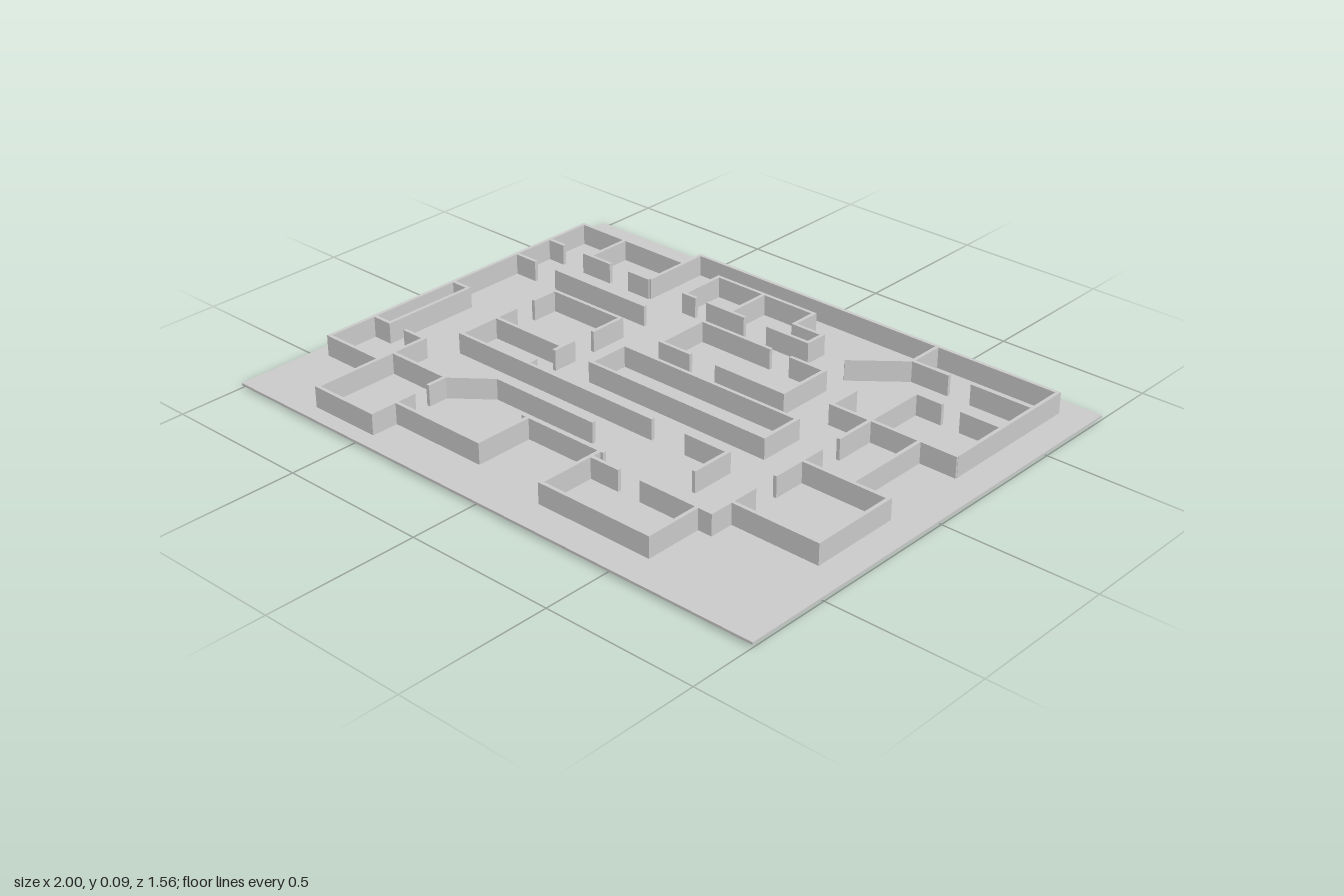
import * as THREE from 'three';

const WALL_H = 0.085, WALL_T = 0.012;
const FLOOR_Y = 0.008, FLOOR_H = 0.008;
const material = new THREE.MeshStandardMaterial({ color: 0xcccccc, flatShading: true });

// One upright wall between two plan points, lengthened where it meets a corner
function wallSegment(a, b, extendA, extendB) {
  const dx = b[0] - a[0], dz = b[1] - a[1];
  const length = Math.hypot(dx, dz);
  const ea = extendA ? WALL_T / 2 : 0, eb = extendB ? WALL_T / 2 : 0;
  const geometry = new THREE.BoxGeometry(length + ea + eb, WALL_H, WALL_T);
  geometry.translate((eb - ea) / 2, 0, 0);
  const mesh = new THREE.Mesh(geometry, material);
  mesh.name = 'wall';
  mesh.position.set((a[0] + b[0]) / 2, WALL_H / 2, (a[1] + b[1]) / 2);
  mesh.rotation.y = -Math.atan2(dz, dx);
  return mesh;
}

// A named group of wall runs; each run is a polyline of [x, z] plan points
function wallGroup(name, runs) {
  const group = new THREE.Group();
  group.name = name;
  for (const run of runs) {
    const [first, last] = [run[0], run[run.length - 1]];
    const closed = first[0] === last[0] && first[1] === last[1];
    for (let i = 0; i < run.length - 1; i++) {
      group.add(wallSegment(run[i], run[i + 1], i > 0 || closed, i < run.length - 2 || closed));
    }
  }
  return group;
}

export function createModel() {
  const model = new THREE.Group();
  model.name = 'floorPlan';

  // Thin base slab
  const floor = new THREE.Mesh(new THREE.BoxGeometry(2, FLOOR_H, 1.56), material);
  floor.name = 'floor';
  floor.position.y = FLOOR_Y + FLOOR_H / 2;
  model.add(floor);

  // Outer shell along the back and the right-hand side
  model.add(wallGroup('outerWalls', [
    [[-0.94, 0.49], [-0.94, -0.62], [-0.49, -0.62]],
    [[-0.49, -0.457], [-0.49, -0.7], [0.895, -0.7], [0.895, -0.205]],
  ]));

  // Small rooms along the back
  model.add(wallGroup('backRooms', [
    [[-0.75, -0.62], [-0.75, -0.457]],
    [[-0.94, -0.457], [-0.87, -0.457]],
    [[-0.78, -0.457], [-0.66, -0.457]],
    [[-0.58, -0.457], [-0.49, -0.457]],
    [[-0.29, -0.457], [-0.34, -0.457], [-0.34, -0.62], [0.05, -0.62],
      [0.05, -0.525], [0.16, -0.525], [0.16, -0.457], [0, -0.457]],
    [[-0.15, -0.62], [-0.15, -0.457]],
    [[-0.245, -0.457], [-0.09, -0.457]],
    [[-0.94, -0.307], [-0.85, -0.307]],
    [[-0.76, -0.307], [-0.37, -0.307]],
  ]));

  // Rooms on the left side, with the slanted wall
  model.add(wallGroup('leftRooms', [
    [[0.465, -0.7], [0.465, -0.575], [0.31, -0.445]],
    [[0.465, -0.575], [0.6, -0.575]],
    [[0.68, -0.575], [0.895, -0.575]],
    [[0.69, -0.42], [0.595, -0.42], [0.595, -0.06]],
    [[0.755, -0.42], [0.895, -0.42]],
    [[0.455, -0.315], [0.455, -0.205], [0.9, -0.205]],
    [[0.77, -0.205], [0.77, 0.1]],
    [[0.595, 0.015], [0.595, 0.215]],
    [[0.595, 0.1], [0.895, 0.1], [0.895, 0.395], [0.595, 0.395]],
    [[0.595, 0.3], [0.595, 0.475], [0.34, 0.475]],
  ]));

  // Free-standing rooms in the middle
  model.add(wallGroup('middleRooms', [
    [[-0.05, -0.163], [-0.17, -0.163], [-0.17, -0.35], [0.105, -0.35]],
    [[0.18, -0.35], [0.31, -0.35], [0.31, -0.163], [0.05, -0.163]],
    [[-0.235, -0.07], [0.437, -0.07], [0.437, 0.073], [-0.235, 0.073], [-0.235, -0.07]],
    [[-0.655, -0.1], [-0.655, -0.195], [-0.37, -0.195], [-0.37, -0.07]],
    [[-0.655, -0.025], [-0.655, 0.205], [0.135, 0.205]],
    [[-0.655, 0.06], [-0.37, 0.06]],
    [[-0.37, 0.01], [-0.37, 0.095]],
    [[-0.37, 0.17], [-0.37, 0.205]],
    [[0.26, 0.203], [0.415, 0.203], [0.415, 0.345]],
  ]));

  // Rooms along the front and the right-hand front corner
  model.add(wallGroup('frontRooms', [
    [[-0.94, -0.025], [-0.87, -0.025], [-0.87, 0.305], [-0.94, 0.305]],
    [[-0.8, 0.305], [-0.715, 0.305], [-0.715, 0.72], [-0.478, 0.72], [-0.478, 0.56]],
    [[-0.94, 0.485], [-0.715, 0.485]],
    [[-0.715, 0.43], [-0.485, 0.43], [-0.365, 0.332], [0.025, 0.332]],
    [[-0.485, 0.43], [-0.485, 0.5]],
    [[-0.478, 0.63], [-0.133, 0.63], [-0.133, 0.435]],
    [[-0.155, 0.435], [0.165, 0.435]],
    [[0.15, 0.435], [0.15, 0.667], [0.547, 0.667], [0.547, 0.475]],
    [[0.15, 0.475], [0.26, 0.475]],
  ]));

  return model;
}
